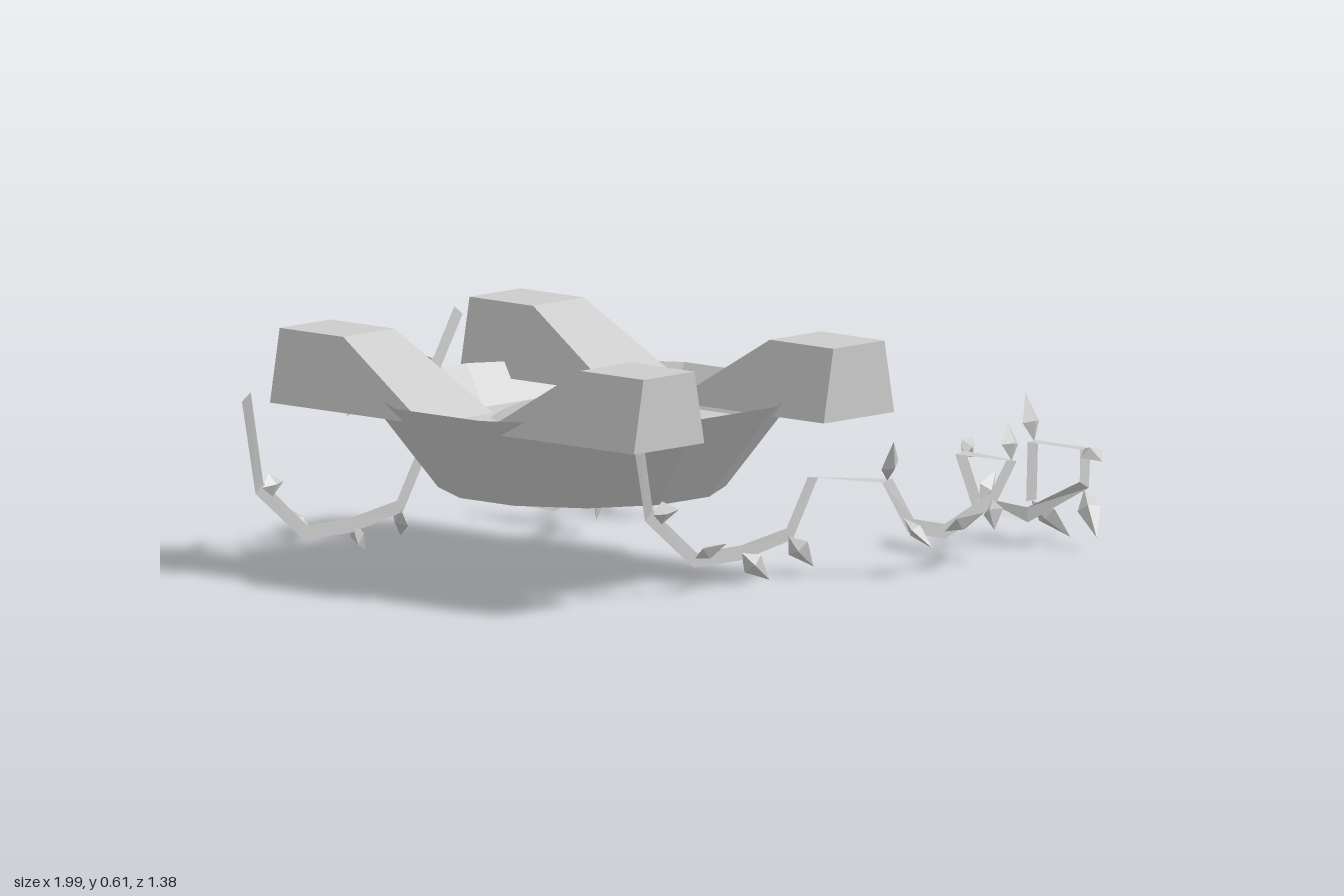
import * as THREE from 'three';

const material = new THREE.MeshStandardMaterial({ color: 0xcccccc, flatShading: true, side: THREE.DoubleSide });
const smooth = new THREE.MeshStandardMaterial({ color: 0xcccccc, side: THREE.DoubleSide });
const CX = -0.294, CZ = 0.0175;

function add(parent, name, geometry, mat = material) {
  const mesh = new THREE.Mesh(geometry, mat);
  mesh.name = name;
  parent.add(mesh);
  return mesh;
}

// Open twelve-sided cone wall with flats facing the axes
function wall(rTop, rBottom, yTop, yBottom) {
  const g = new THREE.CylinderGeometry(rTop, rBottom, yTop - yBottom, 12, 1, true);
  return g.rotateY(Math.PI / 12).translate(0, (yTop + yBottom) / 2, 0);
}

// Tapered block with a long ramp on its inner end
function armGeometry() {
  const g = new THREE.BoxGeometry(1, 1, 1);
  const p = g.attributes.position;
  for (let i = 0; i < p.count; i++) {
    const top = p.getY(i) > 0;
    const inner = top ? 0.405 : 0.1;
    p.setXYZ(i, Math.sign(p.getX(i)) * (top ? 0.0935 : 0.129),
      top ? 0.615 : 0.43, p.getZ(i) > 0 ? 0.6225 : inner);
  }
  g.computeVertexNormals();
  return g;
}

// Paths: x, y, z and the angle of the ribbon's width in the xy plane
const vinePath = [
  [-0.645, 0.48, 0.53, 0.55], [-0.485, 0.22, 0.425, 0.75], [-0.3, 0.085, 0.41, 1.25],
  [-0.13, 0.085, 0.41, 1.65], [0.035, 0.115, 0.42, 2.2], [0.115, 0.25, 0.425, 3.0],
  [0.2, 0.25, 0.6, 3.3], [0.27, 0.13, 0.615, 4.1], [0.4, 0.1, 0.61, 4.75],
  [0.58, 0.16, 0.605, 5.2], [0.65, 0.25, 0.605, 6.15], [0.66, 0.25, 0.42, 6.4],
  [0.72, 0.115, 0.42, 7.1], [0.81, 0.085, 0.51, 7.9], [0.91, 0.16, 0.61, 8.9],
  [0.92, 0.25, 0.605, 9.42], [0.92, 0.25, 0.425, 9.42], [0.92, 0.1, 0.42, 9.42]
];
const garlandPath = [
  [-0.55, 0.6, -0.6, 0.7], [-0.47, 0.49, -0.6, 0.8], [-0.38, 0.42, -0.595, 1.2],
  [-0.25, 0.41, -0.59, 1.75], [-0.16, 0.47, -0.6, 2.35], [-0.075, 0.585, -0.61, 2.5]
];

// Leaves: base and tip
const frontLeaves = [
  [-0.475, 0.22, 0.42, -0.38, 0.225, 0.43], [-0.3, 0.09, 0.41, -0.26, 0.13, 0.48],
  [-0.13, 0.085, 0.41, -0.05, 0.01, 0.43], [0.03, 0.11, 0.42, 0.09, 0.03, 0.45],
  [0.2, 0.25, 0.6, 0.16, 0.36, 0.66], [0.25, 0.15, 0.61, 0.27, 0.08, 0.69],
  [0.4, 0.1, 0.61, 0.46, 0.15, 0.69], [0.58, 0.16, 0.605, 0.55, 0.09, 0.64],
  [0.65, 0.25, 0.605, 0.66, 0.35, 0.58], [0.67, 0.24, 0.42, 0.73, 0.28, 0.4],
  [0.72, 0.115, 0.43, 0.79, 0.19, 0.42], [0.91, 0.15, 0.61, 0.87, 0.04, 0.69],
  [0.92, 0.1, 0.42, 0.998, 0.005, 0.48], [0.92, 0.25, 0.43, 0.92, 0.37, 0.4],
  [0.92, 0.25, 0.6, 0.89, 0.23, 0.69]
];
const backLeaves = [
  [-0.81, 0.22, -0.595, -0.715, 0.225, -0.61], [-0.635, 0.09, -0.61, -0.6, 0.13, -0.69],
  [-0.465, 0.085, -0.61, -0.385, 0.01, -0.64], [-0.3, 0.11, -0.6, -0.245, 0.03, -0.65],
  [-0.22, 0.24, -0.59, -0.13, 0.27, -0.57], [0.315, 0.25, -0.42, 0.36, 0.19, -0.44],
  [0.325, 0.25, -0.6, 0.36, 0.34, -0.63], [0.39, 0.12, -0.6, 0.45, 0.19, -0.62],
  [0.245, 0.15, -0.415, 0.215, 0.04, -0.41], [0.585, 0.25, -0.595, 0.585, 0.24, -0.69],
  [0.58, 0.16, -0.41, 0.695, 0.18, -0.42], [0.585, 0.1, -0.6, 0.62, 0.1, -0.69]
];
const garlandLeaves = [
  [-0.47, 0.49, -0.6, -0.43, 0.45, -0.68], [-0.38, 0.42, -0.6, -0.42, 0.35, -0.67],
  [-0.25, 0.41, -0.59, -0.23, 0.53, -0.65], [-0.17, 0.47, -0.6, -0.1, 0.43, -0.67]
];

function ribbonGeometry(path, half) {
  const pos = [], index = [];
  path.forEach(([x, y, z, a], i) => {
    const dx = Math.cos(a) * half, dy = Math.sin(a) * half;
    pos.push(x - dx, y - dy, z, x + dx, y + dy, z);
    if (i) {
      const k = i * 2;
      index.push(k - 2, k - 1, k, k, k - 1, k + 1);
    }
  });
  const g = new THREE.BufferGeometry();
  g.setAttribute('position', new THREE.Float32BufferAttribute(pos, 3));
  g.setIndex(index);
  g.computeVertexNormals();
  return g;
}

// Unit-long diamond leaf pointing up
function leafGeometry() {
  const g = new THREE.OctahedronGeometry(1).scale(0.03, 0.5, 0.018);
  const p = g.attributes.position;
  for (let i = 0; i < p.count; i++) {
    p.setY(i, Math.abs(p.getX(i)) + Math.abs(p.getZ(i)) > 0.001 ? 0.4 : p.getY(i) + 0.5);
  }
  g.computeVertexNormals();
  return g;
}

function makeVine(name, path, leaves) {
  const vine = new THREE.Group();
  vine.name = name;
  add(vine, 'stem', ribbonGeometry(path, 0.019));
  const geometry = leafGeometry();
  const up = new THREE.Vector3(0, 1, 0);
  for (const [x, y, z, tx, ty, tz] of leaves) {
    const dir = new THREE.Vector3(tx - x, ty - y, tz - z);
    const leaf = add(vine, 'leaf', geometry);
    leaf.position.set(x, y, z);
    leaf.scale.y = dir.length();
    leaf.quaternion.setFromUnitVectors(up, dir.normalize());
  }
  return vine;
}

export function createModel() {
  const model = new THREE.Group();
  model.name = 'floatingPedestal';

  // Faceted bowl with a hollow foot and a raised centre
  const base = new THREE.Group();
  base.name = 'base';
  base.position.set(CX, 0, CZ);
  model.add(base);
  add(base, 'bowlWall', wall(0.545, 0.36, 0.47, 0.23));
  add(base, 'innerRing', wall(0.24, 0.36, 0.3, 0.23), smooth);
  add(base, 'footCeiling', new THREE.CircleGeometry(0.24, 12).rotateX(Math.PI / 2).rotateY(Math.PI / 12).translate(0, 0.3, 0));
  add(base, 'centrePlate', new THREE.BoxGeometry(0.585, 0.04, 0.585).translate(0, 0.385, 0));
  const domeProfile = [[0.24, 0.4], [0.18, 0.428], [0.1, 0.452], [0.03, 0.467], [0, 0.478]];
  add(base, 'centreDome', new THREE.LatheGeometry(domeProfile.map(([r, y]) => new THREE.Vector2(r, y)), 12, Math.PI / 12), smooth);

  // Four ramped blocks
  const geometry = armGeometry();
  for (const side of [-1, 1]) {
    for (const turn of [0, Math.PI]) {
      const arm = add(base, turn ? 'backBlock' : 'frontBlock', geometry);
      arm.position.x = side * 0.3475;
      arm.rotation.y = turn;
    }
  }

  // Two matching vines and a garland between the back blocks
  const backPath = vinePath.map(([x, y, z, a]) => [x - 0.335, y, z - 1.02, a]);
  model.add(makeVine('frontVine', vinePath, frontLeaves));
  model.add(makeVine('backVine', backPath, backLeaves));
  model.add(makeVine('garland', garlandPath, garlandLeaves));
  return model;
}
